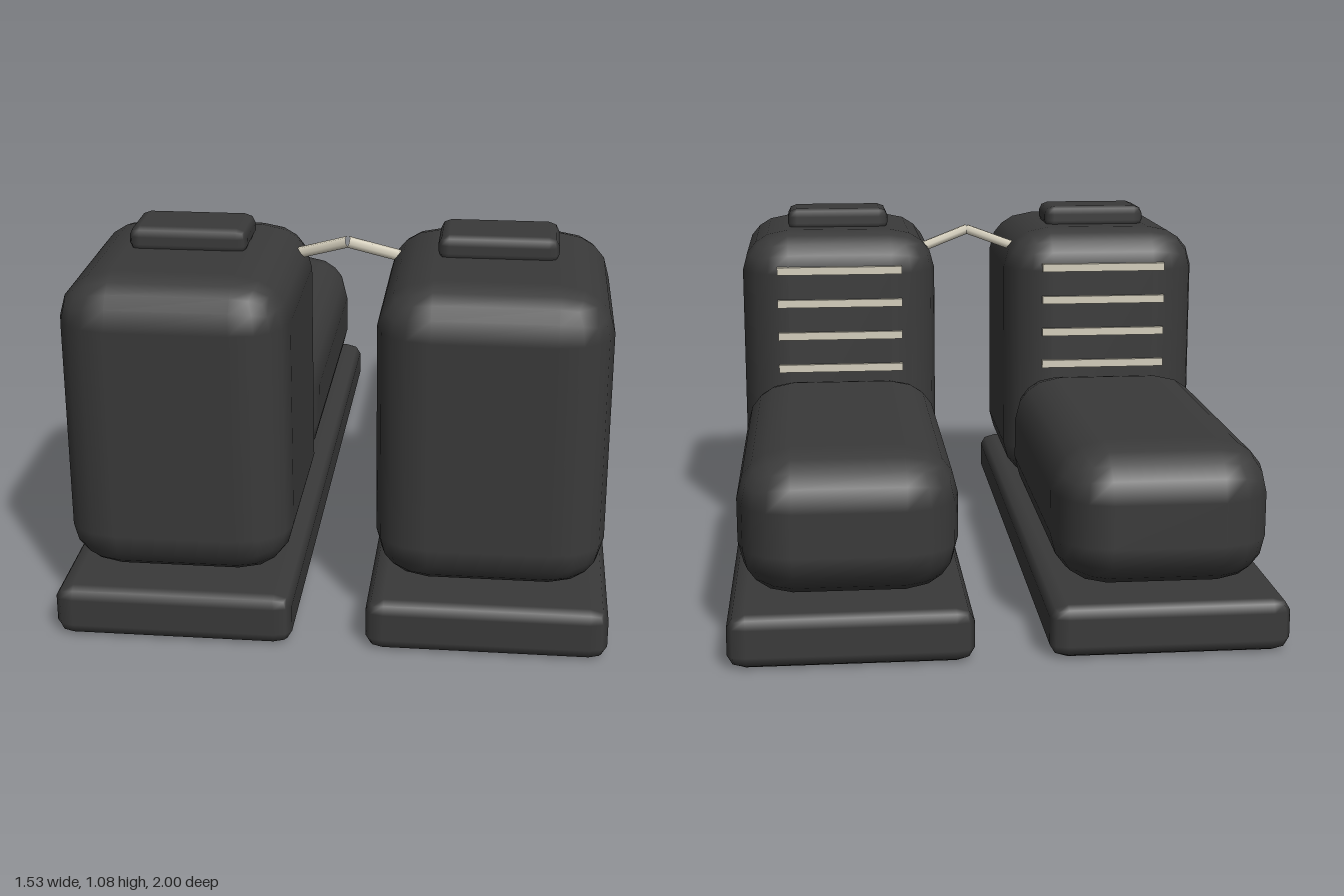
import * as THREE from 'three';
import { RoundedBoxGeometry } from 'three/addons/geometries/RoundedBoxGeometry.js';

// Rounded box from min/max corners, with a separate edge radius per axis
function roundedBox(min, max, r, segments) {
  const s = max.map((m, i) => m - min[i]);
  const g = new RoundedBoxGeometry(s[0] / r[0], s[1] / r[1], s[2] / r[2], segments, 1);
  g.scale(...r);
  g.translate(...max.map((m, i) => (m + min[i]) / 2));
  return g;
}

export function createModel() {
  const model = new THREE.Group();
  model.name = 'bootPair';

  const leather = new THREE.MeshStandardMaterial({ color: 0x3a3a3a });
  leather.name = 'charcoal';
  const cord = new THREE.MeshStandardMaterial({ color: 0xd6d0be });
  cord.name = 'cream';

  const add = (parent, name, geometry, material) => {
    const mesh = new THREE.Mesh(geometry, material);
    mesh.name = name;
    parent.add(mesh);
    return mesh;
  };

  // Shared boot geometries, centred on x = 0
  const sole = roundedBox([-0.332, 0, -1], [0.332, 0.147, 1], [0.05, 0.035, 0.03], 1);
  const shaft = roundedBox([-0.317, 0.15, 0.2], [0.317, 1.015, 0.93], [0.15, 0.13, 0.13], 2);
  const toe = roundedBox([-0.305, 0.147, -0.94], [0.305, 0.55, 0.27], [0.15, 0.14, 0.18], 2);
  const tab = roundedBox([-0.167, 1.0, 0.4], [0.167, 1.075, 0.6], [0.03, 0.027, 0.025], 1);
  const lace = new THREE.BoxGeometry(0.405, 0.025, 0.025);

  for (const side of [-1, 1]) {
    const boot = new THREE.Group();
    boot.name = side < 0 ? 'rightBoot' : 'leftBoot';
    boot.position.x = side * 0.434;
    add(boot, 'sole', sole, leather);
    add(boot, 'shaft', shaft, leather);
    add(boot, 'toe', toe, leather);
    add(boot, 'topTab', tab, leather);

    // Lace rows across the shaft above the toe
    for (let i = 0; i < 4; i++) {
      add(boot, 'lace', lace, cord).position.set(0, 0.575 + i * 0.107, 0.203);
    }
    model.add(boot);

    // Half of the cord joining the boots
    const half = new THREE.LineCurve3(
      new THREE.Vector3(side * 0.15, 0.948, 0.385),
      new THREE.Vector3(0, 1.0, 0.43)
    );
    add(model, 'joiningCord', new THREE.TubeGeometry(half, 1, 0.017, 6), cord);
  }
  return model;
}
